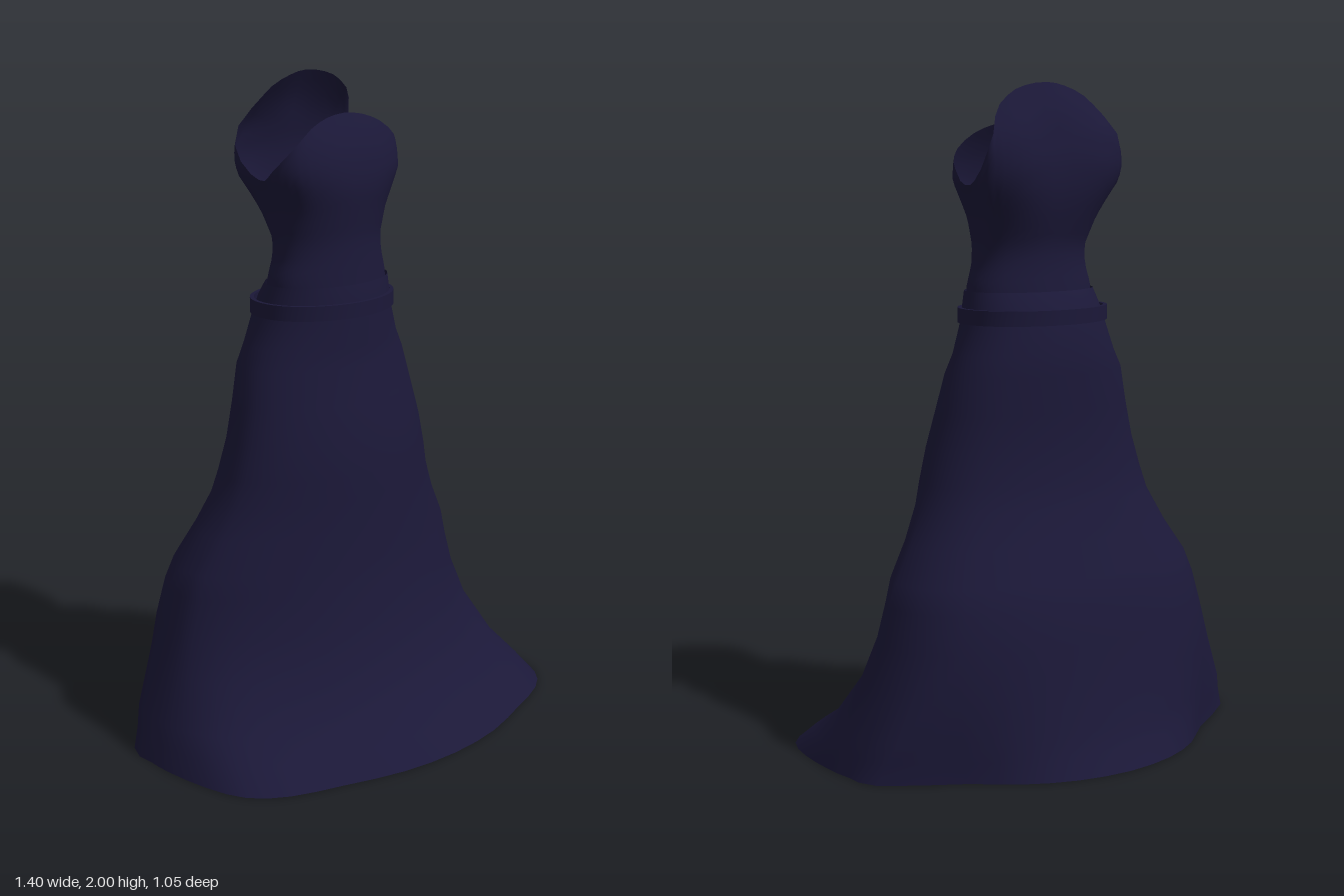
import * as THREE from 'three';
import { toCreasedNormals } from 'three/addons/utils/BufferGeometryUtils.js';

const COLS = 48;
const material = new THREE.MeshStandardMaterial({ color: 0x1b1838, side: THREE.DoubleSide });

// Half outlines from centre front to centre back: [x fraction, z fraction]
const HEM = [[0, 1], [.29, .96], [.57, .84], [.79, .73], [.93, .57], [.985, .33], [1, .05],
  [.99, -.15], [.95, -.36], [.64, -.63], [.46, -.82], [.25, -.95], [0, -1]];
const KNEE = [[0, 1], [.3, .94], [.56, .78], [.78, .55], [.91, .34], [.98, .15], [1, 0],
  [.985, -.24], [.92, -.48], [.79, -.7], [.56, -.88], [.3, -.97], [0, -1]];
const WAIST = [[0, 1], [.28, .96], [.54, .84], [.77, .64], [.92, .4], [.985, .18], [1, 0],
  [.985, -.2], [.92, -.43], [.78, -.66], [.55, -.85], [.28, -.97], [0, -1]];
const BUST = [[0, 1], [.3, .98], [.58, .9], [.82, .74], [.94, .5], [.98, .25], [.99, 0],
  [.99, -.35], [1, -.75], [.82, -.9], [.58, -1], [.3, -1], [0, -.97]];
const RIM = [[0, 1], [.3, .98], [.58, .9], [.82, .74], [.94, .5], [.98, .25], [.99, 0],
  [.99, -.35], [1, -.75], [.82, -.25], [.58, -.6], [.3, -.8], [0, -1]];
// Neckline height along the torso outline
const NECK = [1.885, 1.876, 1.85, 1.805, 1.765, 1.73, 1.70, 1.715, 1.795, 1.90, 1.96, 1.99, 2.0];

// Profiles: [y, half width, front z, back z]
const SKIRT = [[0, .70, .523, -.525], [.06, .68, .45, -.49], [.12, .657, .355, -.465], [.25, .607, .285, -.43],
  [.37, .57, .25, -.41], [.48, .54, .227, -.388], [.55, .518, .217, -.36], [.65, .455, .207, -.315],
  [.75, .405, .2, -.275], [.82, .385, .197, -.258], [.92, .357, .187, -.242], [1.03, .327, .165, -.24],
  [1.14, .3, .14, -.24], [1.2, .268, .135, -.236], [1.28, .24, .132, -.222], [1.34, .226, .127, -.2], [1.385, .216, .118, -.17]];
const BODICE = [[1.27, .218, .118, -.175], [1.4, .208, .108, -.16], [1.46, .19, .104, -.152], [1.52, .187, .102, -.152],
  [1.6, .2, .112, -.178], [1.66, .224, .12, -.194], [1.71, .25, .118, -.2], [1.77, .25, .105, -.2], [1.82, .25, .084, -.19],
  [1.885, .248, .045, -.174], [1.92, .247, .042, -.162], [1.96, .247, .04, -.14], [2, .247, .04, -.115]];

// Mirror a half outline into a smooth closed loop; y carries the neckline
function closedOutline(half) {
  const pts = half.map(([x, z], i) => new THREE.Vector3(x, NECK[i], z));
  for (let i = half.length - 2; i > 0; i--) pts.push(new THREE.Vector3(-half[i][0], NECK[i], half[i][1]));
  // uniform spacing keeps columns matched between outlines
  const curve = new THREE.CatmullRomCurve3(pts, true, 'catmullrom', 0.5);
  return Array.from({ length: COLS }, (_, i) => curve.getPoint(i / COLS));
}
const [hem, knee, waist, bust, rim] = [HEM, KNEE, WAIST, BUST, RIM].map(closedOutline);
const ramp = (y, from, to) => THREE.MathUtils.clamp((y - from) / (to - from), 0, 1);

// Linear lookup of a profile at height y
function profileAt(profile, y) {
  let i = 0;
  while (i < profile.length - 2 && y > profile[i + 1][0]) i++;
  const a = profile[i], b = profile[i + 1];
  const t = ramp(y, a[0], b[0]);
  return a.map((v, k) => v + (b[k] - v) * t);
}

// Place an outline point into a section given by half width, front and back
function place(p, y, [, w, front, back]) {
  return [p.x * w, y, (front + back) / 2 + p.z * (front - back) / 2];
}

// Closed tube surface through rows of points
function loft(rows, pointAt) {
  const pos = [], idx = [];
  for (let r = 0; r < rows; r++) for (let c = 0; c < COLS; c++) pos.push(...pointAt(r, c));
  for (let r = 0; r < rows - 1; r++) for (let c = 0; c < COLS; c++) {
    const n = (c + 1) % COLS;
    const a = r * COLS + c, b = r * COLS + n, d = a + COLS, e = b + COLS;
    idx.push(a, b, e, a, e, d);
  }
  const g = new THREE.BufferGeometry();
  g.setAttribute('position', new THREE.Float32BufferAttribute(pos, 3));
  g.setIndex(idx);
  g.computeVertexNormals();
  return g;
}

export function createModel() {
  const group = new THREE.Group();
  group.name = 'gown';
  const add = (name, geometry) => {
    const mesh = new THREE.Mesh(geometry, material);
    mesh.name = name;
    group.add(mesh);
  };

  // Flared skirt, open at hem and waist
  add('skirt', loft(SKIRT.length, (r, c) => {
    const y = SKIRT[r][0];
    const p = hem[c].clone().lerp(knee[c], ramp(y, 0, .3)).lerp(waist[c], ramp(y, .6, 1.2));
    return place(p, y, SKIRT[r]);
  }));

  // Strapless bodice, each column rising to the neckline; the back rim curls inward
  const rows = 24, base = 1.27;
  add('bodice', loft(rows, (r, c) => {
    const y = base + (Math.min(2, bust[c].y) - base) * r / (rows - 1);
    const p = waist[c].clone().lerp(bust[c], ramp(y, 1.5, 1.75)).lerp(rim[c], ramp(y, 1.85, 2));
    return place(p, y, profileAt(BODICE, y));
  }));

  // Belt with a rectangular section
  const section = [[1.29, 0], [1.335, 0], [1.335, -.012], [1.29, -.012], [1.29, 0]];
  add('belt', toCreasedNormals(loft(section.length, (r, c) => {
    const [y, o] = section[r];
    return place(waist[c], y, [y, .243 + o, .141 + o, -.23 - o]);
  }), 0.7));

  return group;
}
